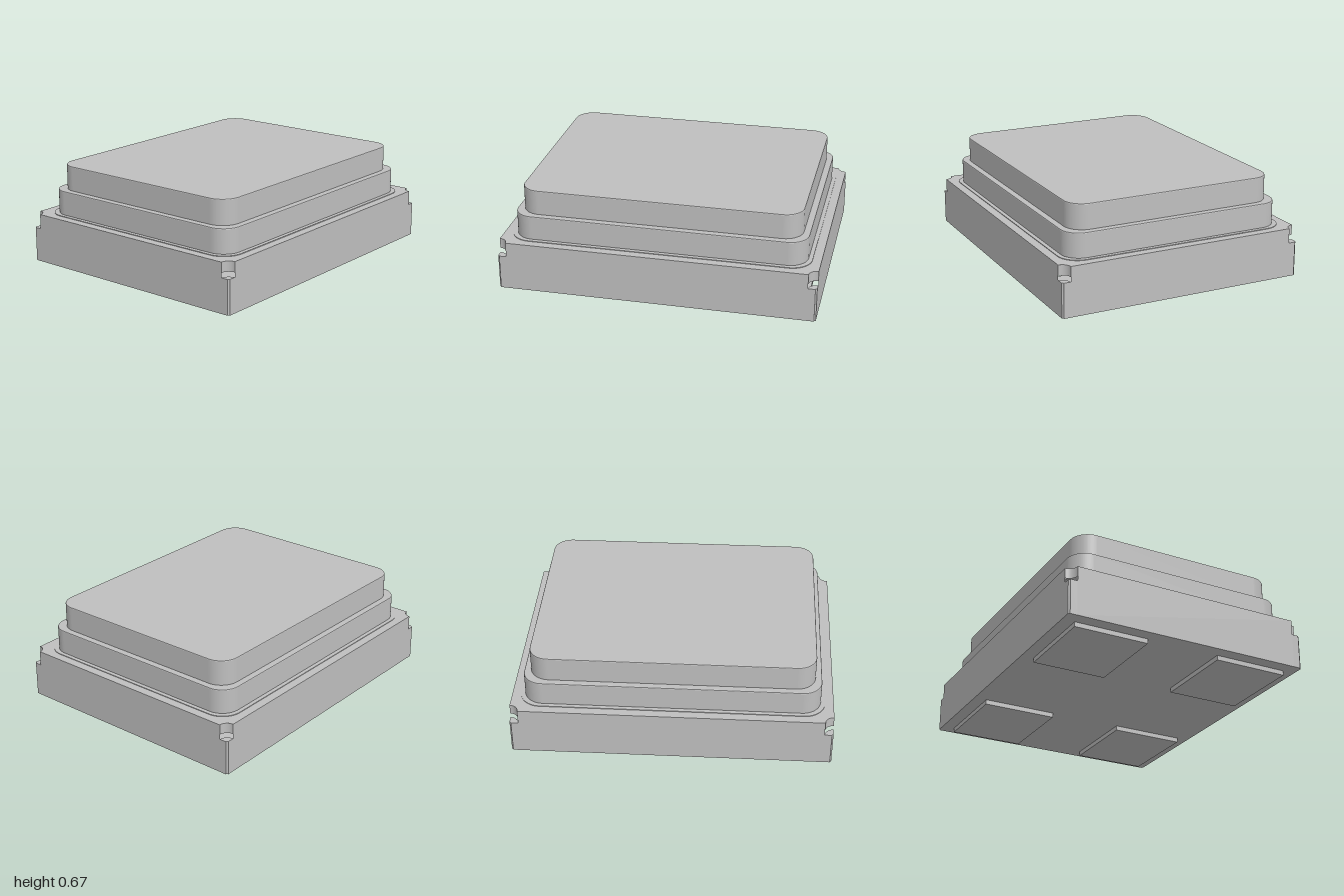
import * as THREE from 'three';

const W = 0.8, D = 1.0, NOTCH = 0.055, Y0 = 0.03, Y1 = 0.345;

// Rounded rectangle centred on the origin, given half sizes
function roundedRect(hx, hz, r) {
  const s = new THREE.Shape();
  s.absarc(hx - r, hz - r, r, 0, Math.PI / 2);
  s.absarc(-hx + r, hz - r, r, Math.PI / 2, Math.PI);
  s.absarc(-hx + r, -hz + r, r, Math.PI, Math.PI * 1.5);
  s.absarc(hx - r, -hz + r, r, Math.PI * 1.5, Math.PI * 2);
  s.closePath();
  return s;
}

// Rectangle with a concave quarter circle cut from each corner
function notchedRect(hx, hz, r) {
  const s = new THREE.Shape();
  s.absarc(hx, hz, r, Math.PI * 1.5, Math.PI, true);
  s.absarc(-hx, hz, r, 0, -Math.PI / 2, true);
  s.absarc(-hx, -hz, r, Math.PI / 2, 0, true);
  s.absarc(hx, -hz, r, Math.PI, Math.PI / 2, true);
  s.closePath();
  return s;
}

// Upright slab from y0 to y1 with an optional small bevel
function slab(shape, y0, y1, bevel = 0) {
  const g = new THREE.ExtrudeGeometry(shape, {
    depth: y1 - y0 - 2 * bevel, bevelEnabled: bevel > 0, bevelThickness: bevel,
    bevelSize: bevel, bevelOffset: -bevel, bevelSegments: 2, curveSegments: 12,
  });
  return g.rotateX(-Math.PI / 2).translate(0, y0 + bevel, 0);
}

export function createModel() {
  const model = new THREE.Group();
  model.name = 'surfaceMountPackage';
  const grey = new THREE.MeshStandardMaterial({ color: 0xbfbfbf });
  grey.name = 'grey';
  const add = (name, geometry) => {
    const mesh = new THREE.Mesh(geometry, grey);
    mesh.name = name;
    model.add(mesh);
    return mesh;
  };

  // Base shell: four walls, notched top and full bottom
  const h = Y1 - Y0, yMid = (Y0 + Y1) / 2;
  for (let i = 0; i < 4; i++) {
    const alongX = i % 2 === 0;
    const width = 2 * ((alongX ? W : D) - NOTCH);
    const wall = new THREE.PlaneGeometry(width, h).translate(0, yMid, alongX ? D : W);
    add('baseWall', wall.rotateY(i * Math.PI / 2));
  }
  add('baseTop', new THREE.ShapeGeometry(notchedRect(W, D, NOTCH), 8)
    .rotateX(-Math.PI / 2).translate(0, Y1, 0));
  add('baseBottom', new THREE.ShapeGeometry(notchedRect(W, D, 0.01), 4)
    .rotateX(Math.PI / 2).translate(0, Y0, 0));

  // Corner castellations: concave notch above, contact post below, open slot between
  const inward = new THREE.CylinderGeometry(NOTCH, NOTCH, Y1 - 0.28, 10, 1, true, Math.PI, Math.PI / 2);
  const index = inward.index.array;
  for (let i = 0; i < index.length; i += 3) [index[i], index[i + 1]] = [index[i + 1], index[i]];
  const normals = inward.attributes.normal;
  for (let i = 0; i < normals.count; i++) normals.setXYZ(i, -normals.getX(i), 0, -normals.getZ(i));
  const post = new THREE.Shape();
  post.absarc(0, 0, NOTCH, Math.PI / 2, Math.PI);
  post.lineTo(-0.01, 0);
  post.absarc(0, 0, 0.01, Math.PI, Math.PI / 2, true);
  post.closePath();
  const postGeometry = slab(post, Y0, 0.25);
  const corners = [[W, D, 0], [W, -D, 1], [-W, -D, 2], [-W, D, 3]];
  for (const [x, z, turn] of corners) {
    const notch = add('cornerNotch', inward);
    notch.position.set(x, (Y1 + 0.28) / 2, z);
    notch.rotation.y = turn * Math.PI / 2;
    const contact = add('cornerContact', postGeometry);
    contact.position.set(x, 0, z);
    contact.rotation.y = turn * Math.PI / 2;
  }

  // Seal ring and two-step lid
  add('sealRing', slab(roundedRect(0.745, 0.945, 0.13), Y1 - 0.01, Y1 + 0.004));
  add('lowerLid', slab(roundedRect(0.72, 0.92, 0.12), Y1, 0.505, 0.006));
  add('upperLid', slab(roundedRect(0.68, 0.88, 0.12), 0.5, 0.665, 0.006));

  // Solder pads
  for (const x of [-0.48, 0.48]) for (const z of [-0.64, 0.64]) {
    add('solderPad', new THREE.BoxGeometry(0.48, Y0, 0.555).translate(x, Y0 / 2, z));
  }
  return model;
}
